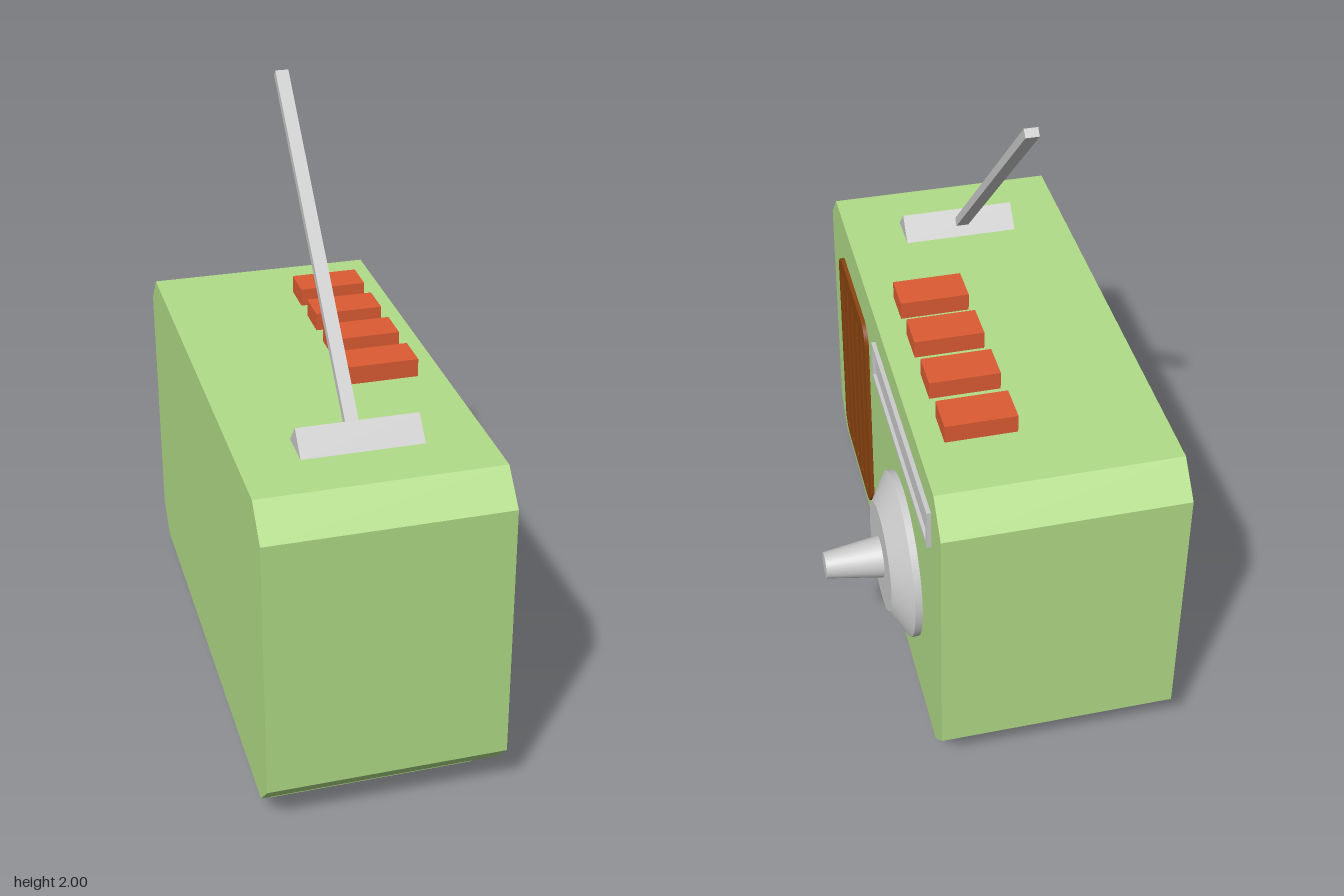
import * as THREE from 'three';

export function createModel() {
  const model = new THREE.Group();
  const material = (color) => new THREE.MeshStandardMaterial({ color });
  const green = material(0xb2dd88);
  const orange = material(0xdd5c34);
  const brown = material(0x8b4510);
  const grey = material(0xcccccc);

  const add = (name, geometry, mat) => {
    const mesh = new THREE.Mesh(geometry, mat);
    mesh.name = name;
    model.add(mesh);
    return mesh;
  };

  // Box given by its extents
  const box = (name, mat, x0, x1, y0, y1, z0, z1) =>
    add(name, new THREE.BoxGeometry(x1 - x0, y1 - y0, z1 - z0), mat)
      .position.set((x0 + x1) / 2, (y0 + y1) / 2, (z0 + z1) / 2);

  // Side profile drawn in (-z, y), extruded along x from x0 to x1
  const slab = (name, mat, shape, x0, x1) => {
    const geometry = new THREE.ExtrudeGeometry(shape, { depth: x1 - x0, bevelEnabled: false, curveSegments: 8 });
    geometry.rotateY(Math.PI / 2).translate(x0, 0, 0);
    return add(name, geometry, mat);
  };
  const polygon = (points) => new THREE.Shape(points.map(([u, y]) => new THREE.Vector2(u, y)));
  const rectangle = (u0, u1, y0, y1) => polygon([[u0, y0], [u1, y0], [u1, y1], [u0, y1]]);

  // Case with chamfered ends
  const face = 0.243;
  slab('case', green, polygon([
    [-0.795, 0.065], [0.795, 0.065], [0.887, 0.16], [0.887, 1.02],
    [0.795, 1.12], [-0.795, 1.12], [-0.887, 1.02], [-0.887, 0.16],
  ]), -0.515, face);

  // Feet
  for (const z of [0.69, -0.718]) box('foot', green, -0.47, 0.19, 0, 0.066, z - 0.032, z + 0.032);

  // Push buttons
  for (let i = 0; i < 4; i++) {
    const z = 0.117 - i * 0.21;
    box('button', orange, -0.065, 0.16, 1.11, 1.18, z - 0.062, z + 0.062);
  }

  // Speaker grille: rounded plate with five slots
  const [u0, u1, y0, y1, r] = [-0.705, -0.21, 0.168, 0.968, 0.07];
  const plate = new THREE.Shape();
  plate.absarc(u1 - r, y0 + r, r, -Math.PI / 2, 0);
  plate.absarc(u1 - r, y1 - r, r, 0, Math.PI / 2);
  plate.absarc(u0 + r, y1 - r, r, Math.PI / 2, Math.PI);
  plate.absarc(u0 + r, y0 + r, r, Math.PI, Math.PI * 1.5);
  for (let i = 0; i < 5; i++) {
    const u = -0.638 + i * 0.09;
    plate.holes.push(rectangle(u - 0.018, u + 0.018, 0.21, 0.9));
  }
  slab('speakerGrille', brown, plate, face, 0.257);

  // Tuning display: frame and sunken panel
  const frame = rectangle(-0.08, 0.76, 0.885, 1.022);
  frame.holes.push(rectangle(-0.065, 0.745, 0.9, 1.007));
  slab('displayFrame', grey, frame, face, 0.257);
  slab('displayPanel', grey, rectangle(-0.07, 0.75, 0.895, 1.012), face - 0.005, face + 0.003);

  // Tuning dial: rim, sloped disc and tapered knob, all along x
  const turned = (name, r0, r1, x0, x1) => {
    const geometry = new THREE.CylinderGeometry(r1, r0, x1 - x0, 32);
    geometry.rotateZ(-Math.PI / 2);
    add(name, geometry, grey).position.set((x0 + x1) / 2, 0.472, -0.347);
  };
  turned('dialRim', 0.275, 0.275, face, 0.267);
  turned('dialDisc', 0.275, 0.182, 0.267, 0.325);
  turned('dialKnob', 0.07, 0.043, 0.32, 0.51);

  // Antenna: wedge mount and tilted rod
  slab('antennaMount', grey, polygon([[-0.612, 1.118], [-0.475, 1.118], [-0.543, 1.19]]), -0.33, 0.05);
  const start = new THREE.Vector3(-0.15, 1.15, 0.52);
  const end = new THREE.Vector3(-0.15, 1.99, -0.325);
  const rod = add('antennaRod', new THREE.BoxGeometry(0.042, 0.028, start.distanceTo(end)), grey);
  rod.position.copy(start).lerp(end, 0.5);
  rod.lookAt(end);

  return model;
}
